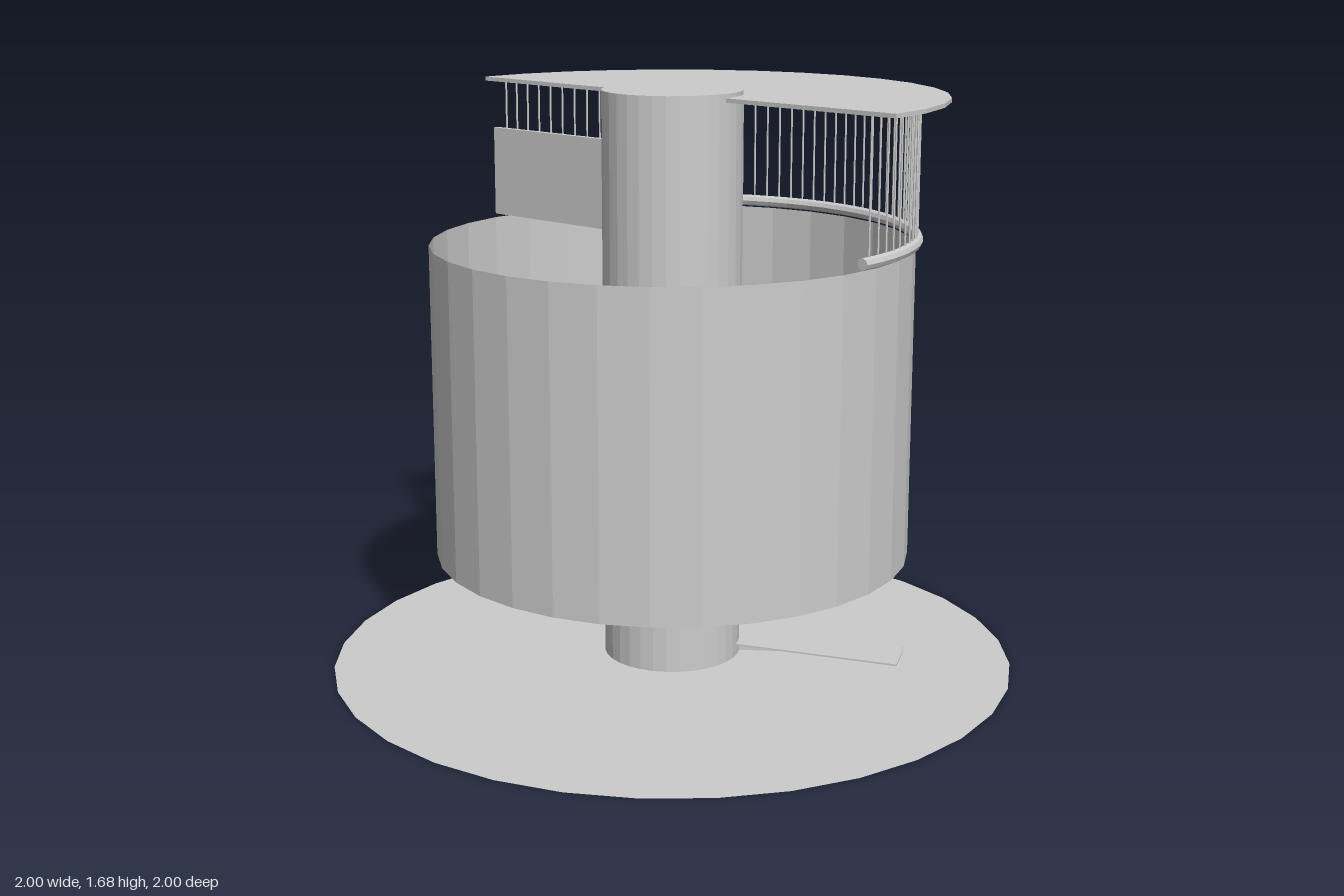
import * as THREE from 'three';

const rad = THREE.MathUtils.degToRad;

export function createModel() {
  const model = new THREE.Group();
  const grey = new THREE.MeshStandardMaterial({ color: 0xcccccc, flatShading: true, side: THREE.DoubleSide });
  grey.name = 'light grey';

  function add(name, geometry, parent = model) {
    const mesh = new THREE.Mesh(geometry, grey);
    mesh.name = name;
    parent.add(mesh);
    return mesh;
  }

  // Flat ring sector; angles in degrees run from +x towards the back
  function sector(inner, outer, from, to, y, height, steps) {
    const points = [];
    const put = (r, a) => points.push(new THREE.Vector2(r * Math.cos(rad(a)), r * Math.sin(rad(a))));
    for (let i = 0; i <= steps; i++) put(outer, from + (to - from) * i / steps);
    for (let i = steps; i >= 0; i--) put(inner, from + (to - from) * i / steps);
    return new THREE.ExtrudeGeometry(new THREE.Shape(points), { depth: height, bevelEnabled: false })
      .rotateX(-Math.PI / 2).translate(0, y, 0);
  }

  // Upright radial panel
  function radialPanel(inner, outer, angle, y0, y1, thickness) {
    return new THREE.BoxGeometry(outer - inner, y1 - y0, thickness)
      .translate((inner + outer) / 2, (y0 + y1) / 2, 0).rotateY(rad(angle));
  }

  // Ground disc, central column and open drum
  add('groundDisc', new THREE.CircleGeometry(1, 32).rotateX(-Math.PI / 2));
  add('column', new THREE.CylinderGeometry(0.2, 0.2, 1.66, 32).translate(0, 0.85, 0));
  add('drumWall', new THREE.CylinderGeometry(0.69, 0.69, 0.91, 32, 1, true).translate(0, 0.795, 0));

  // Bottom step: thin tread with a riser at its back edge
  const step = new THREE.Group();
  step.name = 'bottomStep';
  model.add(step);
  add('tread', sector(0.19, 0.685, 7.5, 22.5, 0.051, 0.005, 2), step);
  add('riser', radialPanel(0.19, 0.685, 22, 0.02, 0.053, 0.01), step);

  // Half-round top plate
  add('topPlate', sector(0.195, 0.777, -15.3, 164.7, 1.656, 0.012, 16));

  // Side panel standing on the drum rim
  add('sidePanel', radialPanel(0.19, 0.715, 166, 1.256, 1.52, 0.018));

  // Curved rail with end caps
  const rail = new THREE.Group();
  rail.name = 'railing';
  model.add(rail);
  const start = -16.8, end = 164.7, radius = 0.693, railY = 1.27;
  add('rail', new THREE.TorusGeometry(radius, 0.017, 8, 32, rad(end - start))
    .rotateZ(rad(start)).rotateX(-Math.PI / 2).translate(0, railY, 0), rail);
  for (const angle of [start, end]) {
    add('railEnd', new THREE.CircleGeometry(0.017, 8).translate(radius, railY, 0).rotateY(rad(angle)), rail);
  }

  // Thin balusters between rail and plate
  const count = 52;
  for (let i = 0; i <= count; i++) {
    const a = rad(-14.5 + 178.5 * i / count);
    add('baluster', new THREE.CylinderGeometry(0.003, 0.003, 0.39, 6), rail)
      .position.set(radius * Math.cos(a), 1.465, -radius * Math.sin(a));
  }

  return model;
}
